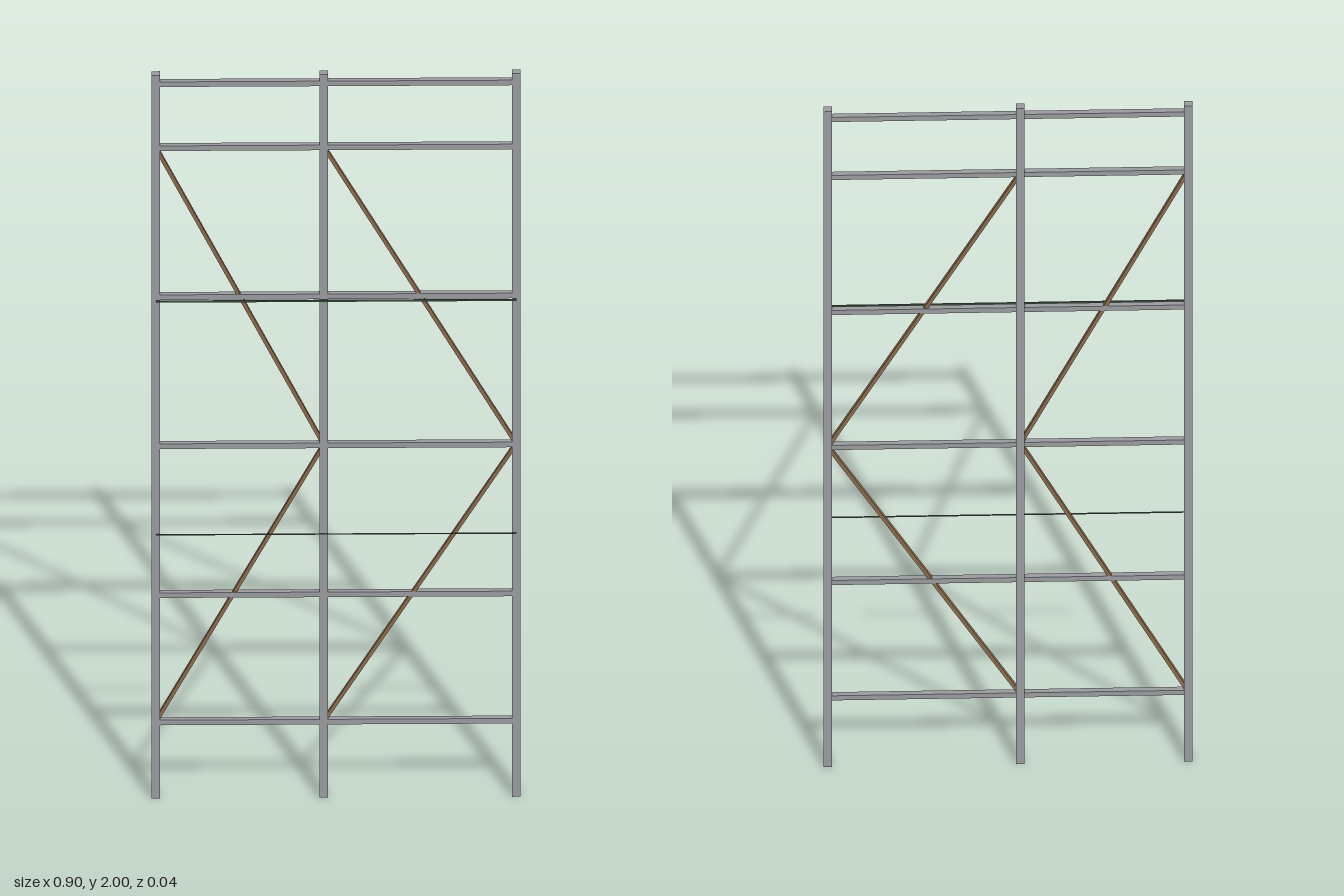
import * as THREE from 'three';

export function createModel() {
  const model = new THREE.Group();
  model.name = 'scaffoldFrame';

  const material = (name, color) => {
    const m = new THREE.MeshStandardMaterial({ color });
    m.name = name;
    return m;
  };
  const steel = material('steelGrey', 0x9a9c9f);
  const brown = material('braceBrown', 0x8b6b4e);
  const green = material('darkGreen', 0x4a5f50);

  const PLANE_Z = -0.008; // centre plane of the frame
  const POSTS = [-0.44, -0.03, 0.44];
  const RAILS = [0.208, 0.56, 0.972, 1.384, 1.796, 1.973];

  const box = (name, mat, [w, h, d], [x, y, z], tilt = 0) => {
    const mesh = new THREE.Mesh(new THREE.BoxGeometry(w, h, d), mat);
    mesh.name = name;
    mesh.position.set(x, y, z);
    mesh.rotation.z = tilt;
    model.add(mesh);
  };

  // Upright square posts
  POSTS.forEach((x) => box('post', steel, [0.021, 2, 0.021], [x, 1, PLANE_Z]));

  // Horizontal rails, one length per bay
  for (const y of RAILS) {
    for (let i = 0; i < 2; i++) {
      const a = POSTS[i], b = POSTS[i + 1];
      box('rail', steel, [b - a, 0.014, 0.015], [(a + b) / 2, y, PLANE_Z]);
    }
  }

  // Diagonal braces: each bay has a pair meeting at the middle rail
  for (let i = 0; i < 2; i++) {
    const a = POSTS[i], b = POSTS[i + 1];
    for (const [y0, y1] of [[RAILS[0], RAILS[2]], [RAILS[4], RAILS[2]]]) {
      const length = Math.hypot(b - a, y1 - y0);
      box('diagonalBrace', brown, [length, 0.009, 0.012],
        [(a + b) / 2, (y0 + y1) / 2, PLANE_Z], Math.atan2(y1 - y0, b - a));
    }
  }

  // Thin strips running just in front of the frame
  box('upperStrip', green, [0.88, 0.004, 0.004], [0, 1.381, 0.0155]);
  box('lowerStrip', green, [0.88, 0.0015, 0.004], [0, 0.736, 0.0155]);

  return model;
}
